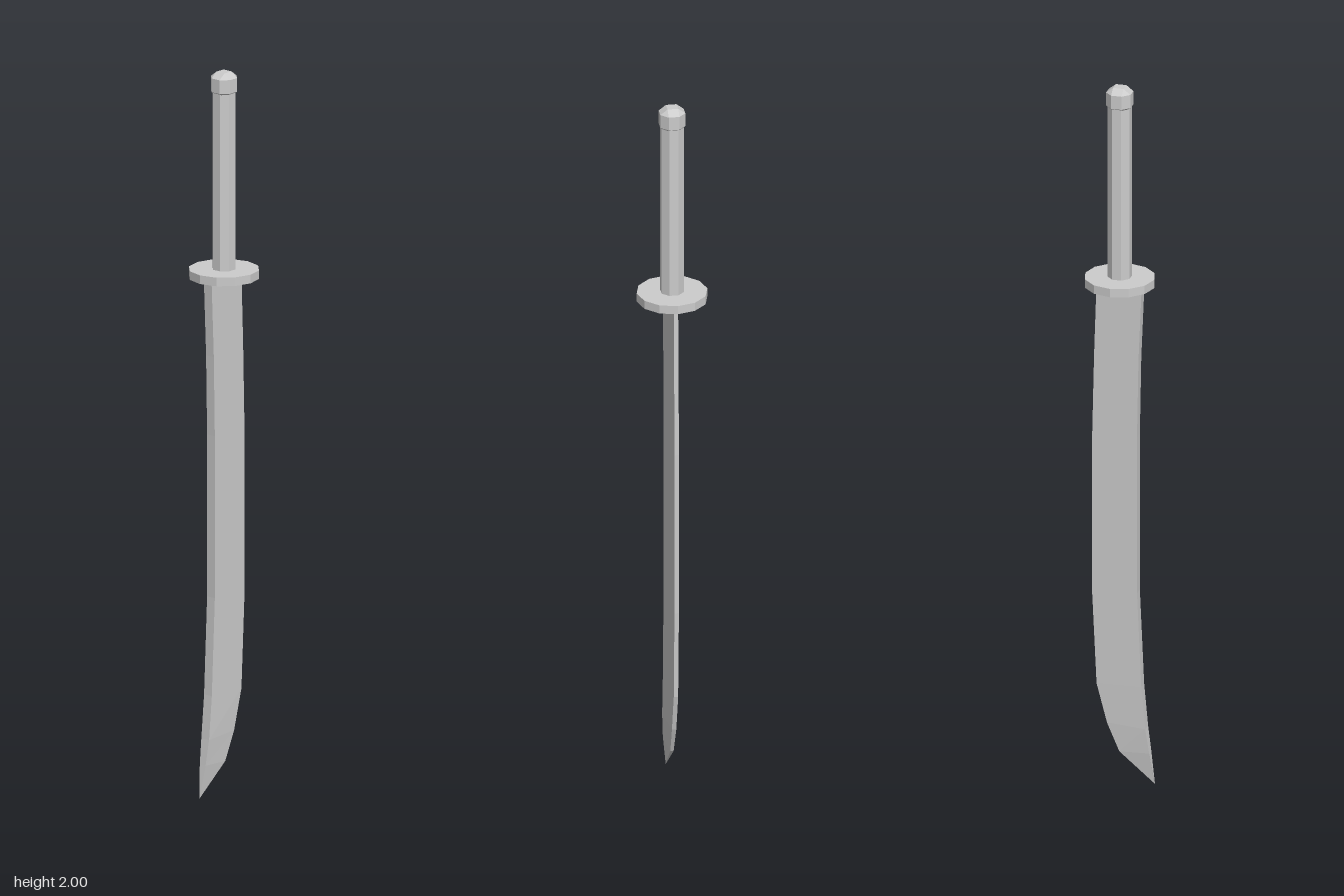
import * as THREE from 'three';
import { ConvexGeometry } from 'three/addons/geometries/ConvexGeometry.js';

const material = new THREE.MeshStandardMaterial({ color: 0xcccccc, flatShading: true });

// Cross-sections of the blade, from guard to tip:
// [spine x, spine y, cutting edge x, cutting edge y, thickness scale]
const SECTIONS = [
  [-0.065, 1.435, 0.063, 1.435, 1],
  [-0.056, 1.22, 0.07, 1.22, 1],
  [-0.052, 1.0, 0.075, 1.0, 1],
  [-0.052, 0.55, 0.075, 0.53, 1],
  [-0.064, 0.28, 0.063, 0.275, 1],
  [-0.075, 0.16, 0.034, 0.165, 1],
  [-0.085, 0.09, 0, 0.085, 0.75],
  [-0.098, 0, -0.096, 0.002, 0.04],
];

// Wedge-section blade: thick spine on -x, thin cutting edge on +x
function bladeGeometry() {
  const spine = 0.014, edge = 0.006;
  const rings = SECTIONS.map(([sx, sy, ex, ey, t]) => [
    [sx, sy, spine * t], [ex, ey, edge * t], [ex, ey, -edge * t], [sx, sy, -spine * t],
  ]);
  const pos = [];
  const quad = (a, b, c, d) => pos.push(...a, ...b, ...c, ...a, ...c, ...d);
  for (let i = 0; i < rings.length - 1; i++) {
    const up = rings[i], low = rings[i + 1];
    for (let k = 0; k < 4; k++) {
      const n = (k + 1) % 4;
      quad(low[k], low[n], up[n], up[k]);
    }
  }
  quad(...rings[0]);
  quad(...rings[rings.length - 1].slice().reverse());
  const geometry = new THREE.BufferGeometry();
  geometry.setAttribute('position', new THREE.Float32BufferAttribute(pos, 3));
  geometry.computeVertexNormals();
  return geometry;
}

// Bevelled cube: one square per side, joined by strips and corner triangles
function pommelGeometry(half, flat, flatY) {
  const points = [];
  for (const x of [-1, 1]) for (const y of [-1, 1]) for (const z of [-1, 1]) {
    points.push(
      new THREE.Vector3(x * half, y * flatY, z * flat),
      new THREE.Vector3(x * flat, y * half, z * flat),
      new THREE.Vector3(x * flat, y * flatY, z * half),
    );
  }
  return new ConvexGeometry(points);
}

export function createModel() {
  const group = new THREE.Group();
  const add = (name, geometry, y = 0) => {
    const mesh = new THREE.Mesh(geometry, material);
    mesh.name = name;
    mesh.position.y = y;
    group.add(mesh);
  };

  add('blade', bladeGeometry());

  // Twelve-sided disc guard
  add('guard', new THREE.CylinderGeometry(0.096, 0.096, 0.024, 12), 1.441);

  // Eight-sided grip with flats facing front and sides
  const gripRadius = 0.03 / Math.cos(Math.PI / 8);
  const grip = new THREE.CylinderGeometry(gripRadius, gripRadius, 0.5, 8);
  grip.rotateY(Math.PI / 8);
  add('grip', grip, 1.7);

  add('pommel', pommelGeometry(0.034, 0.0145, 0.019), 1.966);
  return group;
}
